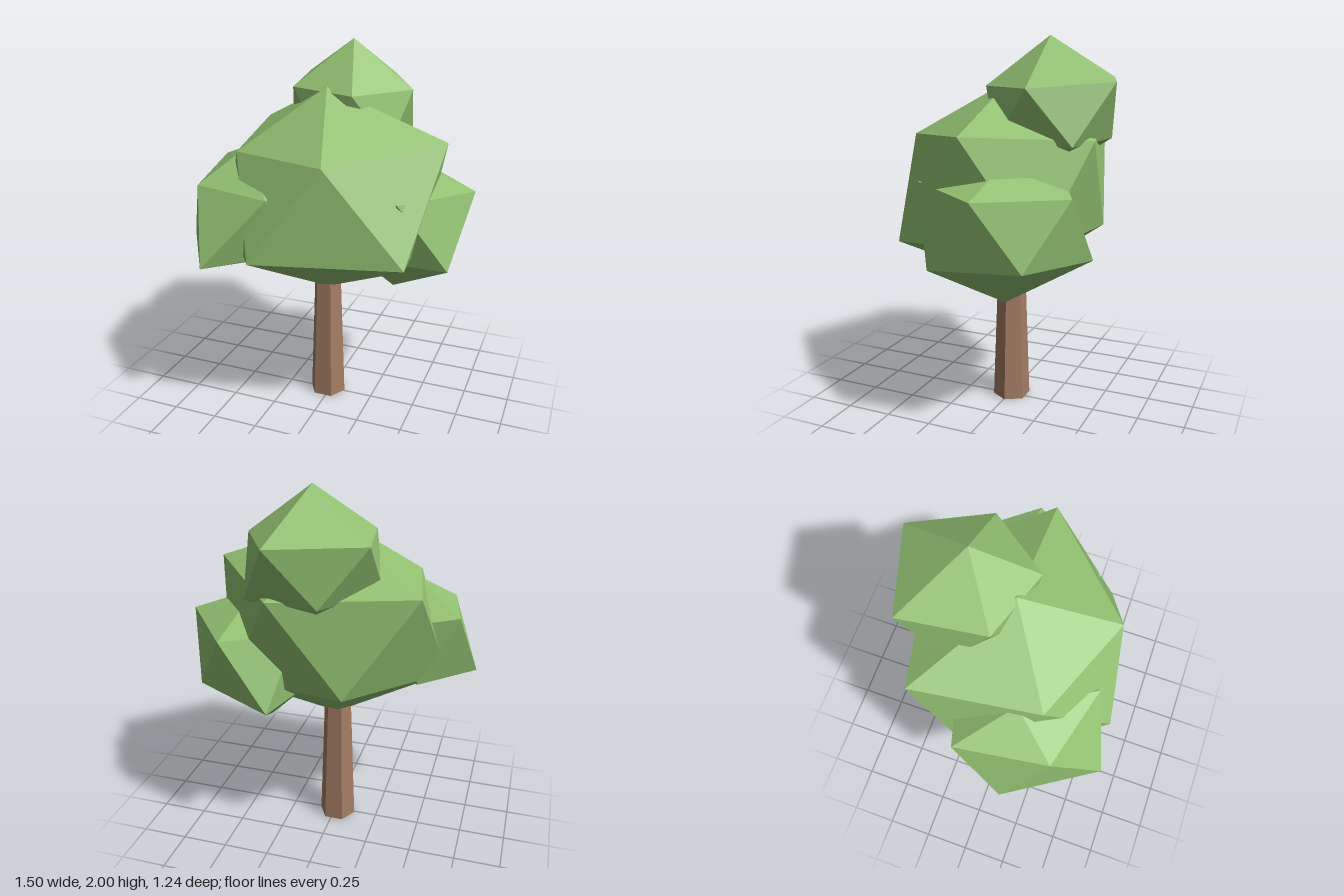
import * as THREE from 'three';

// Irregular twenty-sided clump: top point, two staggered rings of five, bottom point.
// Rings run from +x towards +z; lower[i] sits between upper[i] and upper[i + 1].
function clump(name, material, top, upper, lower, bottom) {
  const positions = [];
  const face = (...corners) => corners.forEach((p) => positions.push(...p));
  for (let i = 0; i < 5; i++) {
    const j = (i + 1) % 5;
    face(top, upper[j], upper[i]);
    face(upper[i], upper[j], lower[i]);
    face(lower[i], upper[j], lower[j]);
    face(bottom, lower[i], lower[j]);
  }
  const geometry = new THREE.BufferGeometry();
  geometry.setAttribute('position', new THREE.Float32BufferAttribute(positions, 3));
  geometry.computeVertexNormals();
  const mesh = new THREE.Mesh(geometry, material);
  mesh.name = name;
  return mesh;
}

export function createModel() {
  const tree = new THREE.Group();
  tree.name = 'tree';
  const leaf = new THREE.MeshStandardMaterial({ color: 0x93c272, flatShading: true });
  leaf.name = 'leafGreen';
  const bark = new THREE.MeshStandardMaterial({ color: 0xa47d64, flatShading: true });
  bark.name = 'barkBrown';

  // Tapered six-sided trunk, ending inside the crown
  const trunk = new THREE.Mesh(new THREE.CylinderGeometry(0.072, 0.103, 0.85, 6), bark);
  trunk.name = 'trunk';
  trunk.rotation.y = Math.PI / 6;
  trunk.position.set(-0.017, 0.425, -0.006);
  tree.add(trunk);

  // Large central clump
  tree.add(clump('mainFoliage', leaf, [-0.02, 1.78, 0],
    [[0.62, 1.54, -0.01], [0.14, 1.49, 0.49], [-0.41, 1.47, 0.27], [-0.52, 1.53, -0.37], [0.19, 1.5, -0.53]],
    [[0.52, 0.99, 0.38], [-0.21, 1, 0.59], [-0.61, 0.99, 0.02], [-0.17, 1.01, -0.48], [0.46, 0.98, -0.34]],
    [-0.01, 0.67, 0.01]));

  // Clump at the top, towards the back
  tree.add(clump('topFoliage', leaf, [0.04, 2, -0.24],
    [[0.37, 1.75, -0.24], [0.14, 1.75, 0.07], [-0.23, 1.76, -0.05], [-0.3, 1.79, -0.48], [0.16, 1.78, -0.62]],
    [[0.3, 1.48, -0.06], [-0.03, 1.48, 0.03], [-0.31, 1.51, -0.24], [-0.07, 1.49, -0.54], [0.32, 1.48, -0.46]],
    [0.03, 1.3, -0.25]));

  // Clump on the right, towards the front
  tree.add(clump('rightFoliage', leaf, [-0.41, 1.47, 0.14],
    [[-0.15, 1.3, 0.485], [-0.59, 1.3, 0.37], [-0.67, 1.35, -0.1], [-0.33, 1.3, -0.2], [-0.1, 1.3, 0.1]],
    [[-0.455, 0.95, 0.62], [-0.75, 0.96, 0.16], [-0.48, 0.97, -0.12], [-0.2, 0.97, -0.08], [-0.13, 0.97, 0.35]],
    [-0.38, 0.83, 0.17]));

  // Clump on the left, towards the back
  tree.add(clump('leftFoliage', leaf, [0.4, 1.4, -0.15],
    [[0.455, 1.29, 0.3], [0.06, 1.28, 0.1], [0.1, 1.28, -0.35], [0.45, 1.26, -0.51], [0.75, 1.27, -0.13]],
    [[0.25, 0.95, 0.22], [0.05, 0.95, -0.13], [0.2, 0.91, -0.54], [0.64, 0.93, -0.34], [0.68, 0.91, 0.13]],
    [0.33, 0.675, -0.12]));

  return tree;
}
